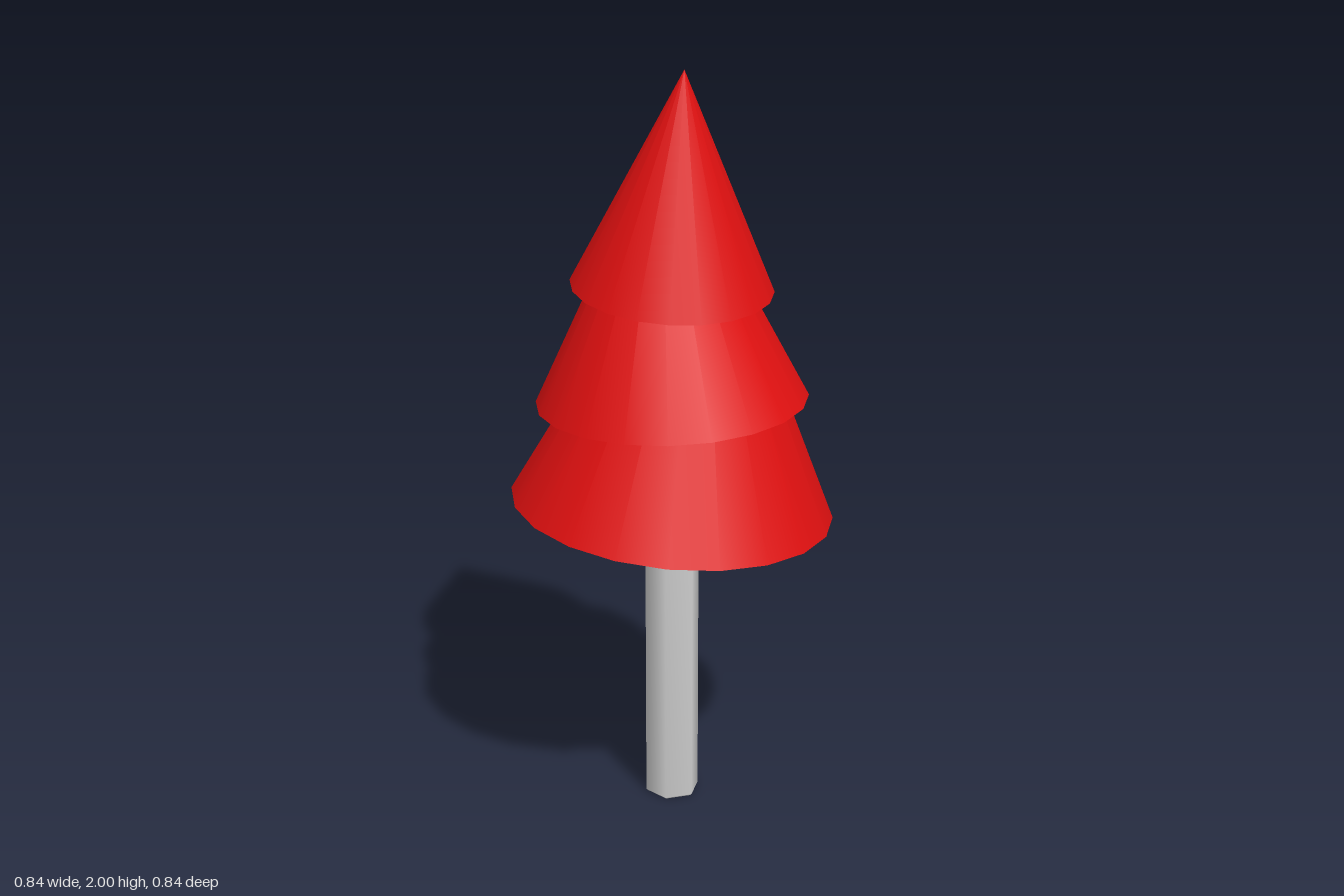
import * as THREE from 'three';

const red = new THREE.MeshStandardMaterial({ color: 0xe01010 });
const grey = new THREE.MeshStandardMaterial({ color: 0xcccccc });

// Cone tier whose base centre sits at baseY; its base plane rises by slopeX and slopeZ per unit.
function tier(name, radius, height, baseY, slopeX, slopeZ) {
  const geometry = new THREE.ConeGeometry(radius, height, 20);
  geometry.translate(0, height / 2, 0);
  const mesh = new THREE.Mesh(geometry, red);
  mesh.name = name;
  const axis = new THREE.Vector3(-slopeX, 1, -slopeZ).normalize();
  mesh.quaternion.setFromUnitVectors(new THREE.Vector3(0, 1, 0), axis);
  mesh.position.y = baseY;
  return mesh;
}

export function createModel() {
  const tree = new THREE.Group();
  tree.name = 'tree';

  // Six-sided trunk with a slightly softened foot, corners on the x axis
  const profile = [[0, 0], [0.068, 0], [0.073, 0.005], [0.073, 0.95], [0, 0.95]]
    .map(([r, y]) => new THREE.Vector2(r, y));
  const trunk = new THREE.Mesh(new THREE.LatheGeometry(profile, 6, Math.PI / 2), grey);
  trunk.name = 'trunk';
  tree.add(trunk);

  // Three foliage tiers, each leaning a little differently
  tree.add(
    tier('lowerFoliage', 0.422, 0.88, 0.844, -0.083, -0.037),
    tier('middleFoliage', 0.352, 0.71, 1.135, 0.032, 0.019),
    tier('upperFoliage', 0.26, 0.565, 1.437, -0.029, -0.09),
  );
  return tree;
}
